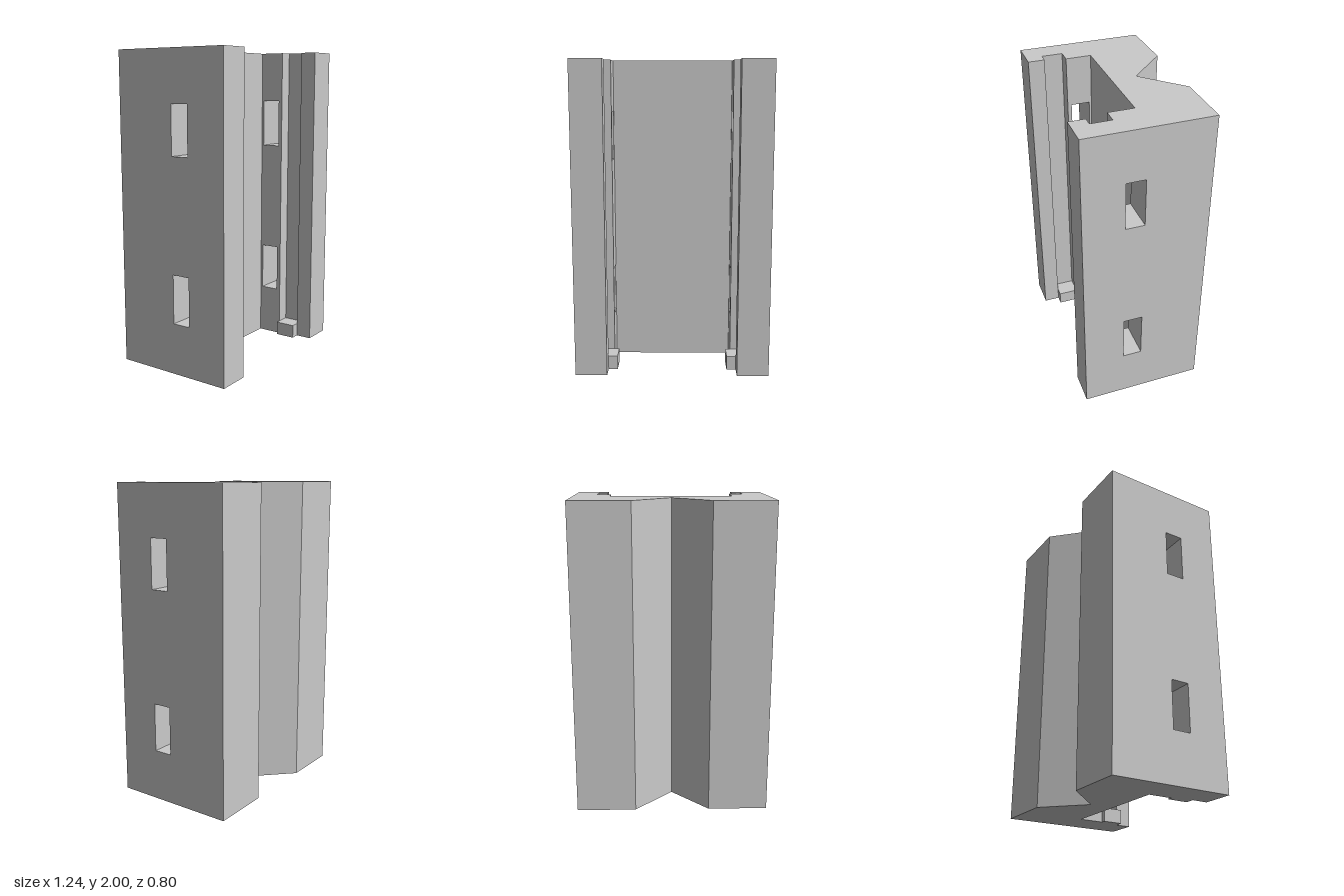
import * as THREE from 'three';

const HEIGHT = 2, HALF_WIDTH = 0.622, HALF_DEPTH = 0.398;
const INNER = 0.388, LIP = 0.418, GROOVE = 0.478, STOP = 0.358; // x of the wall's inner faces
const GROOVE_BACK = 0.162, GROOVE_FRONT = 0.294;

// Extrudes a plan outline of [x, z] points upwards from y = 0
function extrudeUp(points, height) {
  const shape = new THREE.Shape(points.map(([x, z]) => new THREE.Vector2(x, -z)));
  return new THREE.ExtrudeGeometry(shape, { depth: height, bevelEnabled: false }).rotateX(-Math.PI / 2);
}

// Counter-clockwise rectangle between two z and two y positions, for extruding along x
function sideRect(target, z0, z1, y0, y1) {
  target.moveTo(-z1, y0);
  target.lineTo(-z0, y0);
  target.lineTo(-z0, y1);
  target.lineTo(-z1, y1);
  target.closePath();
  return target;
}

export function createModel() {
  const model = new THREE.Group();
  const grey = new THREE.MeshStandardMaterial({ color: 0xcacaca });
  grey.name = 'grey';

  const add = (name, geometry, parent = model) => {
    const mesh = new THREE.Mesh(geometry, grey);
    mesh.name = name;
    parent.add(mesh);
  };

  // Back block with a V-shaped channel
  add('backBlock', extrudeUp([
    [-HALF_WIDTH, 0], [HALF_WIDTH, 0], [HALF_WIDTH, -HALF_DEPTH],
    [0.24, -HALF_DEPTH], [0, -0.158], [-0.24, -HALF_DEPTH], [-HALF_WIDTH, -HALF_DEPTH],
  ], HEIGHT));

  for (const side of [1, -1]) {
    const wall = new THREE.Group();
    wall.name = side > 0 ? 'leftWall' : 'rightWall';
    model.add(wall);
    const mirrored = (points) => points.map(([x, z]) => [side * x, z]);

    // Wall panel with two rectangular windows through it
    const panel = sideRect(new THREE.Shape(), 0, GROOVE_BACK, 0, HEIGHT);
    for (const [y0, y1] of [[0.327, 0.638], [1.365, 1.676]]) {
      panel.holes.push(sideRect(new THREE.Path(), 0.015, 0.136, y0, y1));
    }
    const panelGeometry = new THREE.ExtrudeGeometry(panel, { depth: HALF_WIDTH - INNER, bevelEnabled: false });
    panelGeometry.rotateY(Math.PI / 2).translate(side > 0 ? INNER : -HALF_WIDTH, 0, 0);
    add('windowPanel', panelGeometry, wall);

    // Front rail: the groove floor, then the lip
    add('grooveRail', extrudeUp(mirrored([
      [HALF_WIDTH, GROOVE_BACK], [GROOVE, GROOVE_BACK], [GROOVE, GROOVE_FRONT],
      [LIP, GROOVE_FRONT], [LIP, HALF_DEPTH], [HALF_WIDTH, HALF_DEPTH],
    ]), HEIGHT), wall);

    // Small stop closing the groove at the bottom
    add('grooveStop', extrudeUp(mirrored([
      [STOP, GROOVE_BACK], [STOP, GROOVE_FRONT], [GROOVE, GROOVE_FRONT], [GROOVE, GROOVE_BACK],
    ]), 0.09), wall);
  }

  return model;
}
